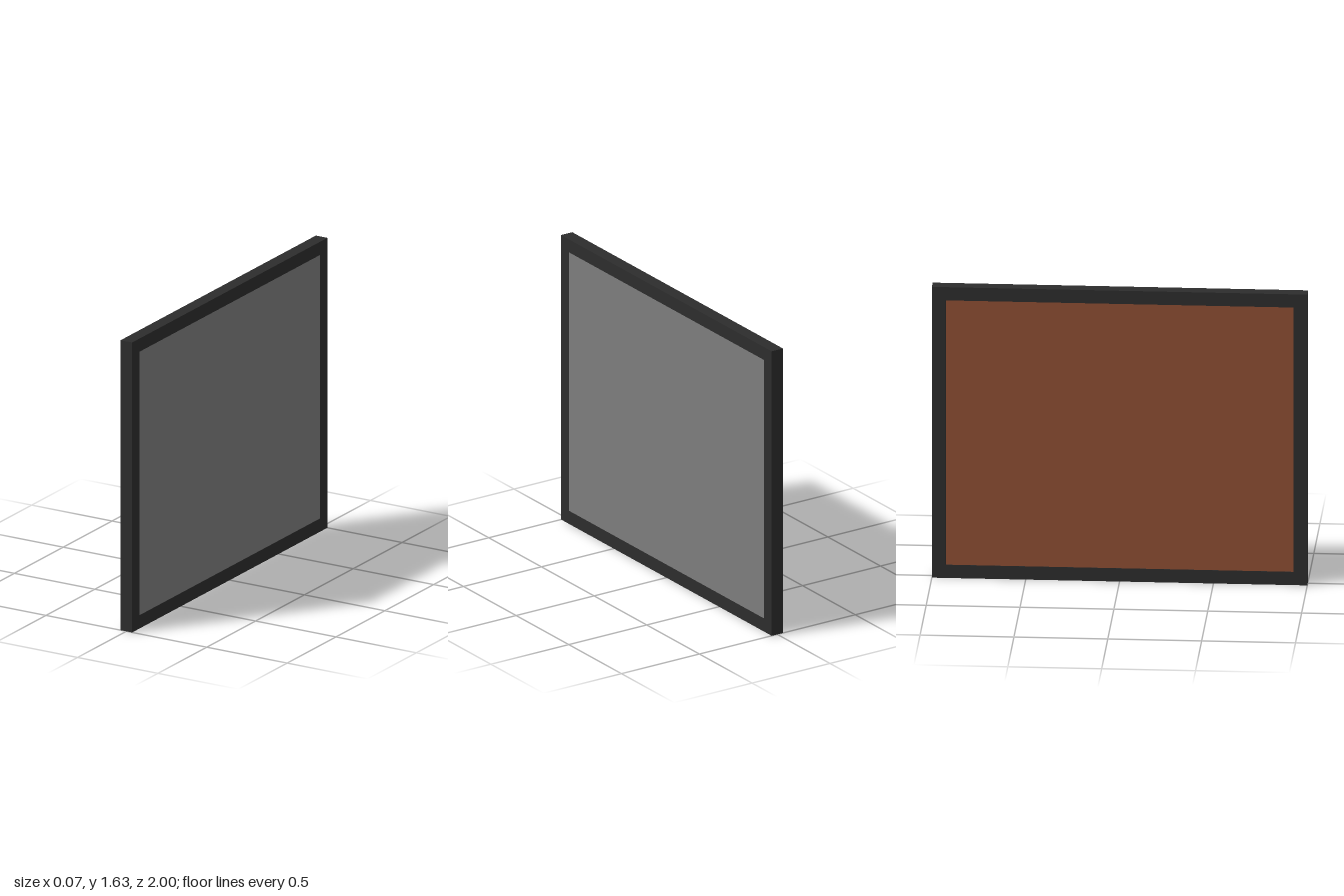
import * as THREE from 'three';

const WIDTH = 2, HEIGHT = 1.63, DEPTH = 0.072, BORDER = 0.074;

// Rectangle outline, inset from the outer edge
function rectangle(Type, inset) {
  const w = WIDTH / 2 - inset, b = inset, t = HEIGHT - inset;
  return new Type([[-w, b], [w, b], [w, t], [-w, t]].map(([x, y]) => new THREE.Vector2(x, y)));
}

function addMesh(group, name, geometry, color) {
  const mesh = new THREE.Mesh(geometry, new THREE.MeshStandardMaterial({ color }));
  mesh.name = name;
  group.add(mesh);
  return mesh;
}

export function createModel() {
  const group = new THREE.Group();
  group.name = 'framedPicture';

  // Dark rectangular frame, lying in the yz plane
  const outline = rectangle(THREE.Shape, 0);
  outline.holes.push(rectangle(THREE.Path, BORDER));
  const frame = new THREE.ExtrudeGeometry(outline, { depth: DEPTH, bevelEnabled: false });
  frame.translate(0, 0, -DEPTH / 2).rotateY(Math.PI / 2);
  addMesh(group, 'frame', frame, 0x2d2d2d);

  // Grey picture on the +x side and brown backing on the -x side, nearly flush
  const thickness = DEPTH / 2 - 0.002;
  for (const [name, side, color] of [['picturePanel', 1, 0x7d7d7d], ['backingPanel', -1, 0x925034]]) {
    const panel = new THREE.BoxGeometry(thickness, HEIGHT - 2 * BORDER, WIDTH - 2 * BORDER);
    addMesh(group, name, panel, color).position.set(side * thickness / 2, HEIGHT / 2, 0);
  }
  return group;
}
